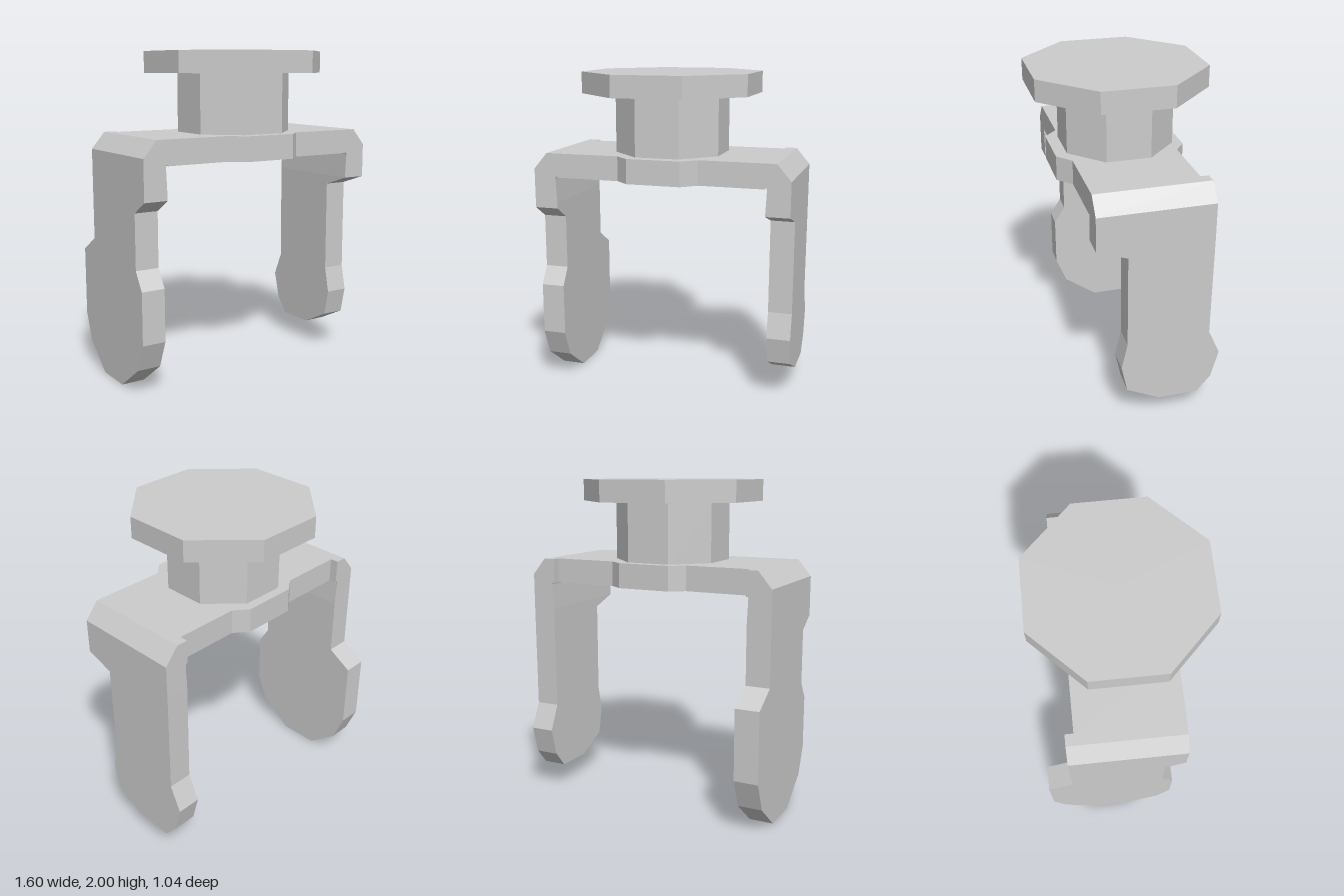
import * as THREE from 'three';

const material = new THREE.MeshStandardMaterial({ color: 0xcccccc, flatShading: true });

function addMesh(parent, name, geometry) {
  const mesh = new THREE.Mesh(geometry, material);
  mesh.name = name;
  parent.add(mesh);
  return mesh;
}

function extrude(points, depth) {
  const shape = new THREE.Shape(points.map(([a, b]) => new THREE.Vector2(a, b)));
  return new THREE.ExtrudeGeometry(shape, { depth, bevelEnabled: false });
}

// Octagonal prism with flats facing the axes; halfWidth is measured to a flat
function octagon(halfWidth, y0, y1) {
  const r = halfWidth / Math.cos(Math.PI / 8);
  return new THREE.CylinderGeometry(r, r, y1 - y0, 8, 1, false, Math.PI / 8)
    .translate(0, (y0 + y1) / 2, 0.003);
}

// Leg outlines below the shoulder, as [z, y]
const longLeg = [
  [0.32, 1.2], [0.32, 1.165], [0.2, 1.09], [0.2, 0.755], [0.27, 0.645], [0.27, 0.325],
  [0.2, 0.155], [-0.015, 0], [-0.26, 0], [-0.45, 0.155], [-0.52, 0.33], [-0.52, 0.755],
  [-0.365, 0.85], [-0.365, 1.2],
];
const shortLeg = [
  [0.32, 1.2], [0.14, 1.14], [0.14, 0.565], [0.175, 0.405], [0.14, 0.24], [-0.06, 0.14],
  [-0.3, 0.14], [-0.385, 0.24], [-0.43, 0.41], [-0.36, 0.565], [-0.365, 1.2],
];

// Chamfered corner joining plate and leg, as [x, y]
const shoulder = [
  [0.645, 1.51], [0.715, 1.51], [0.8, 1.41], [0.8, 1.2], [0.653, 1.2],
  [0.66, 1.35], [0.657, 1.37], [0.645, 1.36],
];

export function createModel() {
  const model = new THREE.Group();
  model.name = 'mountingFork';

  // Knob on top
  addMesh(model, 'cap', octagon(0.513, 1.87, 2));
  addMesh(model, 'stem', octagon(0.325, 1.5, 1.87));

  // Bridge plate with a shallow bulge in front and behind, as [x, z]
  const plate = [
    [-0.645, 0.32], [-0.25, 0.32], [-0.165, 0.4], [0.165, 0.4], [0.25, 0.32], [0.645, 0.32],
    [0.645, -0.315], [0.25, -0.315], [0.165, -0.38], [-0.165, -0.38], [-0.25, -0.315], [-0.645, -0.315],
  ];
  addMesh(model, 'bridge', extrude(plate, 0.15).rotateX(Math.PI / 2).translate(0, 1.51, 0));

  // One shoulder and one leg per side; the right leg is longer
  for (const [side, label, outline] of [[1, 'left', shortLeg], [-1, 'right', longLeg]]) {
    const arm = new THREE.Group();
    arm.name = label + 'Arm';
    addMesh(arm, label + 'Shoulder',
      extrude(shoulder.map(([x, y]) => [side * x, y]), 0.685).translate(0, 0, -0.365));
    addMesh(arm, label + 'Leg',
      extrude(outline.map(([z, y]) => [-z, y]), 0.147).rotateY(Math.PI / 2)
        .translate(side > 0 ? 0.653 : -0.8, 0, 0));
    model.add(arm);
  }
  return model;
}
